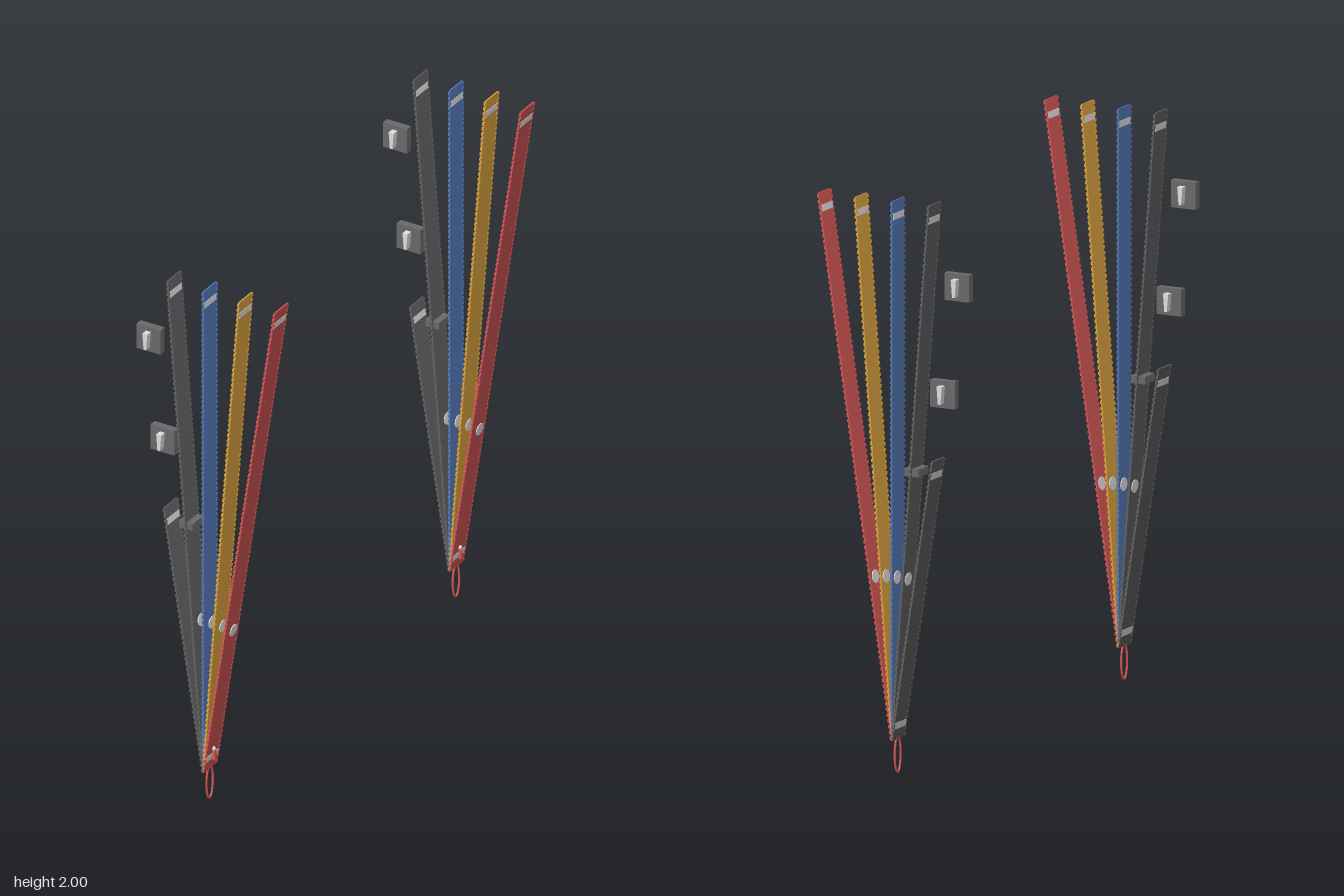
import * as THREE from 'three';
import { mergeGeometries } from 'three/addons/utils/BufferGeometryUtils.js';

const mat = (name, color) => Object.assign(new THREE.MeshStandardMaterial({ color }), { name });

export function createModel() {
  const model = new THREE.Group();
  model.name = 'fannedStraps';

  const red = mat('red', 0xd45656);
  const gold = mat('gold', 0xdca43f);
  const blue = mat('blue', 0x5479b8);
  const charcoal = mat('charcoal', 0x626262);
  const dark = mat('dark', 0x3c3c3c);
  const grey = mat('grey', 0x6a6a6a);
  const silver = mat('silver', 0xe0e0e0);

  const add = (parent, name, geo, material, x = 0, y = 0, z = 0) => {
    const mesh = new THREE.Mesh(geo, material);
    mesh.name = name;
    mesh.position.set(x, y, z);
    parent.add(mesh);
    return mesh;
  };
  const box = (w, h, d) => new THREE.BoxGeometry(w, h, d);

  const BASE = 0.12; // height where all straps meet
  const WIDTH = 0.084;

  // One strap running from the shared base to a tip, with toothed edges
  function makeStrap(name, material, tipX, tipY, hasDisc) {
    const strap = new THREE.Group();
    strap.name = name;
    const length = Math.hypot(tipX, tipY - BASE);
    strap.position.y = BASE;
    strap.rotation.z = -Math.atan2(tipX, tipY - BASE);

    add(strap, 'webbing', box(0.005, length, WIDTH), material, 0, length / 2);

    // Row of teeth down both long edges
    const count = Math.round(length / 0.02);
    const pitch = length / count;
    const teeth = [];
    for (let i = 0; i < count; i++) {
      for (const side of [-1, 1]) {
        teeth.push(box(0.008, pitch * 0.55, 0.008)
          .translate(0, (i + 0.5) * pitch, side * (WIDTH / 2 + 0.001)));
      }
    }
    add(strap, 'edgeTeeth', mergeGeometries(teeth), material);

    // Metal bands near both ends
    add(strap, 'upperBand', box(0.008, 0.023, 0.077), silver, 0, length - 0.055);
    add(strap, 'lowerBand', box(0.008, 0.023, 0.077), silver, 0, 0.052);

    // Round stud through the webbing
    if (hasDisc) {
      const disc = new THREE.CylinderGeometry(0.023, 0.023, 0.011, 16).rotateZ(Math.PI / 2);
      add(strap, 'stud', disc, silver, 0, 0.565, -0.01);
    }
    return strap;
  }

  // Tapered pin that passes through a square block
  const pinShape = new THREE.Shape([
    new THREE.Vector2(-0.01, 0.031), new THREE.Vector2(-0.005, -0.031),
    new THREE.Vector2(0.005, -0.031), new THREE.Vector2(0.01, 0.031),
  ]);
  const pinGeo = new THREE.ExtrudeGeometry(pinShape, { depth: 0.076, bevelEnabled: false });
  pinGeo.translate(0, 0, -0.038);

  function makeBlock(name, x, y) {
    const block = new THREE.Group();
    block.name = name;
    block.position.set(x, y, -0.014);
    add(block, 'plate', box(0.095, 0.095, 0.027), grey);
    add(block, 'pin', pinGeo, silver);
    return block;
  }

  // Oval pull ring below the straps
  const points = [];
  for (let i = 0; i < 24; i++) {
    const a = (i / 24) * Math.PI * 2;
    points.push(new THREE.Vector3(0, 0.066 + Math.sin(a) * 0.062, Math.cos(a) * 0.021));
  }
  const ringGeo = new THREE.TubeGeometry(new THREE.CatmullRomCurve3(points, true), 48, 0.004, 8, true);

  function makeBundle(name, z) {
    const bundle = new THREE.Group();
    bundle.name = name;
    bundle.position.z = z;

    bundle.add(makeStrap('redStrap', red, 0.284, 2, true));
    bundle.add(makeStrap('goldStrap', gold, 0.142, 2, true));
    bundle.add(makeStrap('blueStrap', blue, 0, 2, true));
    bundle.add(makeStrap('longCharcoalStrap', charcoal, -0.142, 2, true));
    bundle.add(makeStrap('shortCharcoalStrap', charcoal, -0.156, 1.11, false));

    bundle.add(makeBlock('upperBlock', -0.243, 1.723));
    bundle.add(makeBlock('lowerBlock', -0.188, 1.345));
    add(bundle, 'keeper', box(0.054, 0.027, 0.07), grey, -0.073, 1.061);

    add(bundle, 'pullRing', ringGeo, red);

    // Small clasp over the joint
    add(bundle, 'claspTab', box(0.012, 0.036, 0.008), red, 0.018, 0.175);
    add(bundle, 'claspBar', box(0.03, 0.03, 0.005), dark, 0.004, 0.182);
    add(bundle, 'claspStud', new THREE.SphereGeometry(0.008, 10, 8), silver, 0.016, 0.2);
    return bundle;
  }

  model.add(makeBundle('frontBundle', 0.812));
  model.add(makeBundle('backBundle', -0.805));
  return model;
}
